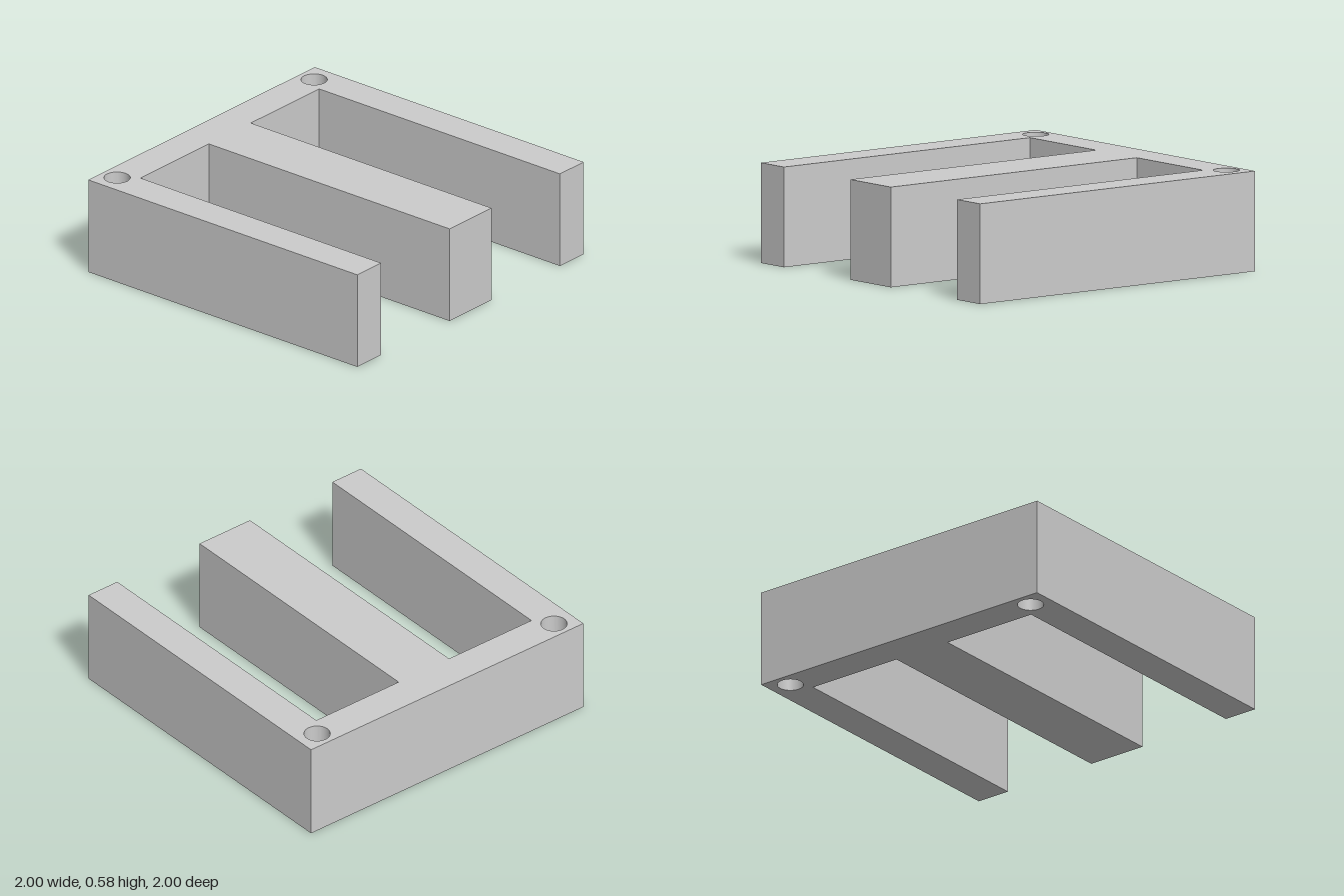
import * as THREE from 'three';
import { toCreasedNormals } from 'three/addons/utils/BufferGeometryUtils.js';

const HEIGHT = 0.577;
const SPINE_X = -0.79; // inner face of the spine
const SLOT_IN = 0.185; // slot edge on the centre arm
const SLOT_OUT = 0.79; // slot edge on the outer arms
const HOLE = { x: -0.895, z: 0.87, radius: 0.075 };

export function createModel() {
  const group = new THREE.Group();
  group.name = 'eCore';

  // E-shaped plan: a spine with three arms reaching to +x
  const plan = new THREE.Shape([
    [-1, -1], [1, -1], [1, -SLOT_OUT], [SPINE_X, -SLOT_OUT],
    [SPINE_X, -SLOT_IN], [1, -SLOT_IN], [1, SLOT_IN], [SPINE_X, SLOT_IN],
    [SPINE_X, SLOT_OUT], [1, SLOT_OUT], [1, 1], [-1, 1],
  ].map(([x, y]) => new THREE.Vector2(x, y)));

  // Round through-holes in the two spine corners
  for (const side of [-1, 1]) {
    const hole = new THREE.Path();
    hole.absarc(HOLE.x, side * HOLE.z, HOLE.radius, 0, Math.PI * 2, true);
    plan.holes.push(hole);
  }

  // Extrude upwards, keeping the hole walls smooth and the edges sharp
  const extruded = new THREE.ExtrudeGeometry(plan, {
    depth: HEIGHT, bevelEnabled: false, curveSegments: 24,
  });
  extruded.rotateX(-Math.PI / 2);

  const core = new THREE.Mesh(
    toCreasedNormals(extruded, Math.PI / 6),
    new THREE.MeshStandardMaterial({ color: 0xcccccc }),
  );
  core.name = 'coreBlock';
  group.add(core);
  return group;
}
